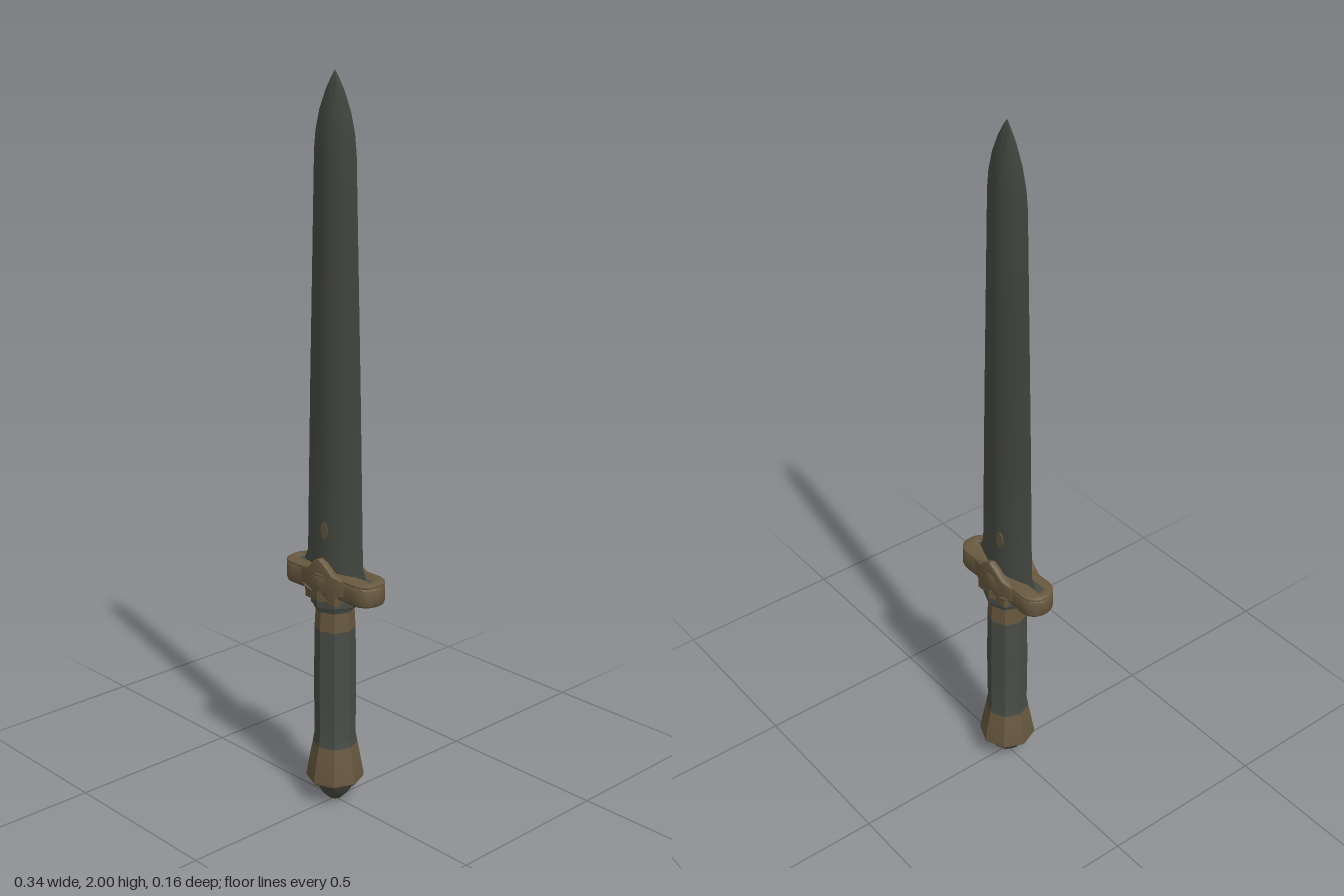
import * as THREE from 'three';
import { toCreasedNormals } from 'three/addons/utils/BufferGeometryUtils.js';

export function createModel() {
  const model = new THREE.Group();
  const steel = new THREE.MeshStandardMaterial({ color: 0x484b45 });
  steel.name = 'darkSteel';
  const bronze = new THREE.MeshStandardMaterial({ color: 0x67583f });
  bronze.name = 'agedBronze';

  const add = (name, geometry, material, x = 0, y = 0, z = 0) => {
    const mesh = new THREE.Mesh(geometry, material);
    mesh.name = name;
    mesh.position.set(x, y, z);
    model.add(mesh);
    return mesh;
  };
  const crease = (g, angle) => toCreasedNormals(g, angle);
  const shapeOf = pts => new THREE.Shape(pts.map(p => new THREE.Vector2(...p)));

  // Blade: lens-shaped sections [y, half width, half thickness]
  const rows = [
    [0.65, 0.122, 0.034], [0.69, 0.12, 0.034], [0.715, 0.108, 0.032], [1.2, 0.096, 0.03],
    [1.6, 0.084, 0.028], [1.8, 0.078, 0.025], [1.85, 0.072, 0.023], [1.9, 0.058, 0.018],
    [1.95, 0.035, 0.01], [1.98, 0.016, 0.005], [2.0, 0.0005, 0.0005],
  ];
  const lens = [[1, 0], [0.75, 0.38], [0.45, 0.76], [0.2, 0.95], [0, 1], [-0.2, 0.95], [-0.45, 0.76], [-0.75, 0.38],
    [-1, 0], [-0.75, -0.38], [-0.45, -0.76], [-0.2, -0.95], [0, -1], [0.2, -0.95], [0.45, -0.76], [0.75, -0.38]];
  const n = lens.length, pos = [], idx = [];
  rows.forEach(([y, w, t], i) => lens.forEach(([u, v], j) => {
    pos.push(u * w, y, v * t);
    if (i === rows.length - 1) return;
    const a = i * n + j, b = i * n + (j + 1) % n;
    idx.push(a, a + n, b, b, a + n, b + n);
  }));
  const blade = new THREE.BufferGeometry();
  blade.setAttribute('position', new THREE.Float32BufferAttribute(pos, 3));
  blade.setIndex(idx);
  add('blade', crease(blade, 0.6), steel);

  // Small bronze inlay on both faces of the blade
  for (const s of [1, -1]) {
    const inlay = new THREE.CylinderGeometry(1, 1, 0.003, 12);
    inlay.rotateX(Math.PI / 2).scale(0.014, 0.025, 1);
    add('bladeInlay', inlay, bronze, -0.008, 0.8, s * 0.0315);
  }

  // Crossguard rim: rounded plan with a bulged middle and a recessed top
  const plan = new THREE.Shape();
  plan.moveTo(0.115, -0.049);
  plan.bezierCurveTo(0.15, -0.05, 0.168, -0.03, 0.168, 0);
  plan.bezierCurveTo(0.168, 0.03, 0.15, 0.05, 0.115, 0.049);
  plan.lineTo(0.07, 0.047);
  plan.bezierCurveTo(0.035, 0.05, 0.03, 0.062, 0, 0.062);
  plan.bezierCurveTo(-0.03, 0.062, -0.035, 0.05, -0.07, 0.047);
  plan.lineTo(-0.115, 0.049);
  plan.bezierCurveTo(-0.15, 0.05, -0.168, 0.03, -0.168, 0);
  plan.bezierCurveTo(-0.168, -0.03, -0.15, -0.05, -0.115, -0.049);
  plan.lineTo(-0.07, -0.047);
  plan.bezierCurveTo(-0.035, -0.05, -0.03, -0.062, 0, -0.062);
  plan.bezierCurveTo(0.03, -0.062, 0.035, -0.05, 0.07, -0.047);
  const recess = shapeOf([[-0.13, -0.034], [0.13, -0.034], [0.138, 0], [0.13, 0.034], [-0.13, 0.034], [-0.138, 0]]);
  const bevel = { bevelEnabled: true, bevelThickness: 0.008, bevelSize: 0.008, bevelOffset: -0.008, bevelSegments: 2, curveSegments: 8 };
  const guard = new THREE.ExtrudeGeometry(plan, { depth: 0.042, ...bevel }).rotateX(-Math.PI / 2);
  add('crossguard', crease(guard, 0.8), bronze, 0, 0.632, 0);
  const rimShape = plan.clone();
  rimShape.holes.push(recess);
  const rim = new THREE.ExtrudeGeometry(rimShape, { depth: 0.005, ...bevel, bevelThickness: 0.005, bevelSegments: 1 });
  add('crossguardRim', crease(rim.rotateX(-Math.PI / 2), 0.8), bronze, 0, 0.68, 0);
  const floor = new THREE.ExtrudeGeometry(recess, { depth: 0.004, bevelEnabled: false }).rotateX(-Math.PI / 2);
  add('crossguardRecess', floor, steel, 0, 0.681, 0);

  // Peaked cheeks on the front and back of the guard
  const cheek = shapeOf([[-0.06, 0.605], [0.06, 0.605], [0.062, 0.632], [0.085, 0.638], [0.085, 0.684],
    [0.05, 0.692], [0.018, 0.722], [0, 0.73], [-0.018, 0.722], [-0.05, 0.692], [-0.085, 0.684], [-0.085, 0.638], [-0.062, 0.632]]);
  for (const s of [1, -1]) {
    const g = new THREE.ExtrudeGeometry(cheek, { depth: 0.012, ...bevel, bevelThickness: 0.005, bevelSize: 0.005, bevelOffset: -0.005 });
    g.translate(0, 0, -0.006);
    // Curve the cheek back towards the arms
    const p = g.attributes.position;
    for (let i = 0; i < p.count; i++) {
      p.setZ(i, p.getZ(i) + s * (0.053 - 0.016 * Math.min(1, (p.getX(i) / 0.085) ** 2)));
    }
    add(s > 0 ? 'frontCheek' : 'backCheek', crease(g, 0.7), bronze);
  }

  // Eight-sided handle parts, profiles as [radius, y] from bottom to top
  const turned = (name, pts, material) => {
    const g = new THREE.LatheGeometry(pts.map(p => new THREE.Vector2(...p)), 8);
    add(name, crease(g, 0.5), material);
  };
  turned('pommelCap', [[0, 0], [0.018, 0.004], [0.042, 0.027], [0.056, 0.05], [0.066, 0.066], [0.06, 0.07]], steel);
  turned('pommel', [[0.05, 0.06], [0.072, 0.062], [0.08, 0.07], [0.079, 0.085], [0.067, 0.15], [0.062, 0.175]], bronze);
  turned('grip', [[0.062, 0.175], [0.057, 0.205], [0.058, 0.36], [0.056, 0.52]], steel);
  turned('gripBand', [[0.056, 0.52], [0.054, 0.555], [0.053, 0.575]], bronze);
  turned('gripCollar', [[0.045, 0.574], [0.056, 0.576], [0.06, 0.588], [0.066, 0.592], [0.066, 0.61]], steel);
  turned('guardSocket', [[0.05, 0.604], [0.066, 0.604], [0.066, 0.64]], bronze);

  return model;
}
